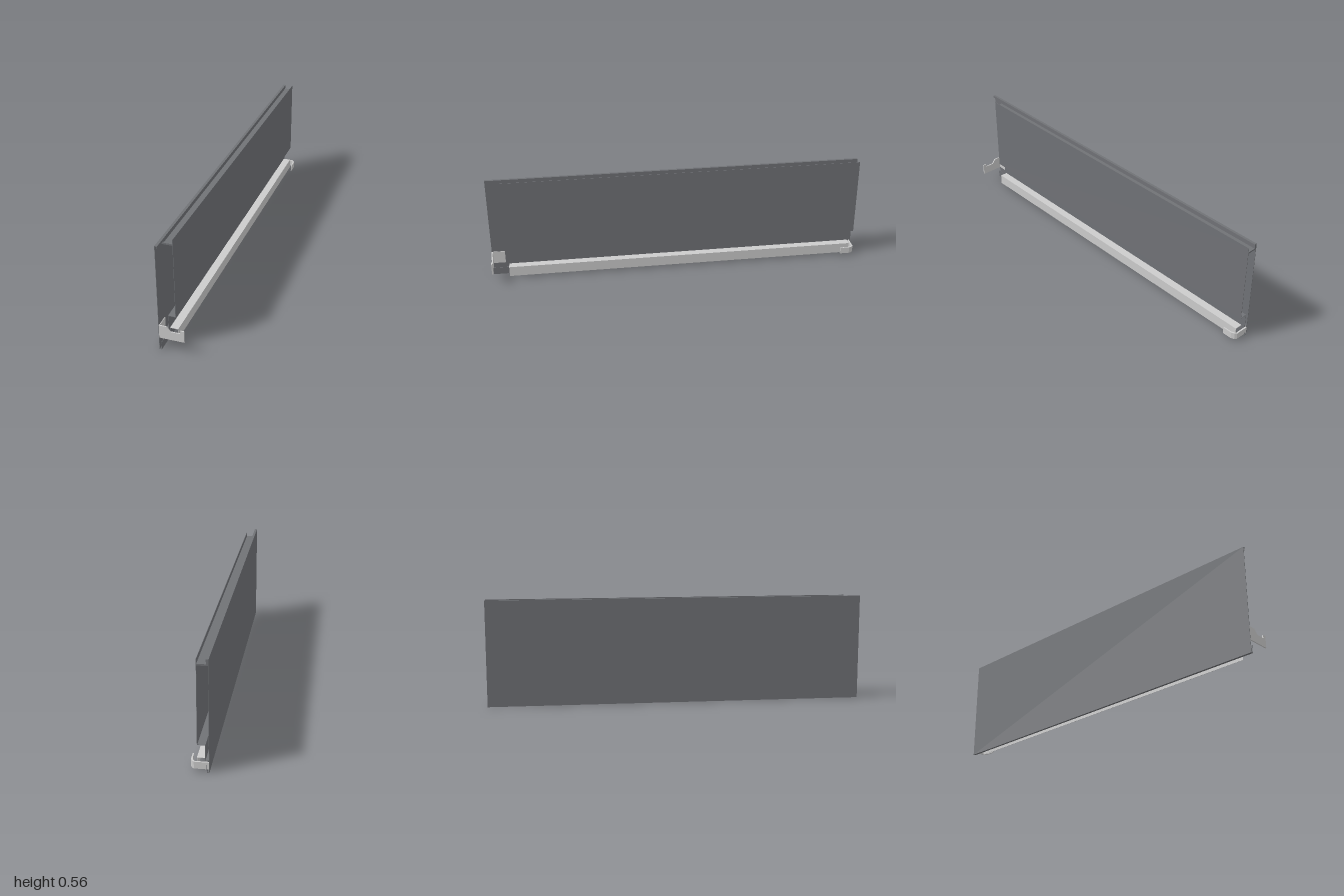
import * as THREE from 'three';

const T = 0.002; // sheet thickness

export function createModel() {
  const model = new THREE.Group();
  const dark = new THREE.MeshStandardMaterial({ color: 0x707276 });
  const light = new THREE.MeshStandardMaterial({ color: 0xcccccc });

  // Box given by its limits on each axis
  const box = (parent, name, mat, [x0, x1], [y0, y1], [z0, z1]) => {
    const mesh = new THREE.Mesh(new THREE.BoxGeometry(x1 - x0, y1 - y0, z1 - z0), mat);
    mesh.position.set((x0 + x1) / 2, (y0 + y1) / 2, (z0 + z1) / 2);
    mesh.name = name;
    parent.add(mesh);
  };
  const group = (name) => {
    const g = new THREE.Group();
    g.name = name;
    model.add(g);
    return g;
  };
  const polygon = (pts) => new THREE.Shape(pts.map(([x, y]) => new THREE.Vector2(x, y)));

  // Outer panel with folded top and bottom edges, full length
  const full = [-1, 1];
  const outer = group('outerPanel');
  box(outer, 'outerSheet', dark, [-0.063, -0.063 + T], [0, 0.562], full);
  box(outer, 'topFold', dark, [-0.061, -0.05], [0.562 - T, 0.562], full);
  box(outer, 'topLip', dark, [-0.05 - T, -0.05], [0.55, 0.562 - T], full);
  box(outer, 'bottomFold', dark, [-0.061, -0.051], [0, T], full);
  box(outer, 'bottomLip', dark, [-0.051 - T, -0.051], [T, 0.04], full);

  // Inner panel, stopping short of the front end
  const part = [-1, 0.925];
  const inner = group('innerPanel');
  box(inner, 'innerSheet', dark, [-0.007 - T, -0.007], [0.14, 0.562], part);
  box(inner, 'channelFloor', dark, [-0.061, -0.009], [0.53, 0.538], part);
  box(inner, 'channelWall', dark, [-0.061, -0.052], [0.538, 0.56], part);
  box(inner, 'lowerFlange', dark, [-0.046, -0.009], [0.14, 0.14 + T], part);
  box(inner, 'web', dark, [-0.046, -0.046 + T], [0.065, 0.14], part);
  box(inner, 'foot', dark, [-0.061, -0.044], [0.063, 0.065], part);

  // Angled runner below the inner panel
  const runner = group('runner');
  box(runner, 'runnerTop', light, [-0.044, -0.003], [0.063, 0.065], [-0.98, 0.912]);
  box(runner, 'runnerSide', light, [-0.003 - T, -0.003], [0.01, 0.063], [-0.98, 0.912]);

  // Front bracket: stepped plate across the end, tab along the outer panel
  const bracket = group('frontBracket');
  const plate = new THREE.Mesh(
    new THREE.ExtrudeGeometry(polygon([
      [-0.061, 0.066], [0.063, 0.066], [0.063, 0.127], [0.045, 0.127],
      [0.045, 0.111], [-0.003, 0.111], [-0.025, 0.135], [-0.061, 0.135],
    ]), { depth: 0.006, bevelEnabled: false }), light);
  plate.position.z = 0.994;
  plate.name = 'bracketPlate';
  bracket.add(plate);
  box(bracket, 'bracketTab', light, [-0.061, -0.058], [0.066, 0.135], [0.93, 0.994]);

  // Rear hook: strip across the end, bent round and forward
  const hook = new THREE.Mesh(
    new THREE.ExtrudeGeometry(polygon([
      [-0.061, 1], [0.008, 1], [0.018, 0.992], [0.025, 0.975], [0.025, 0.925],
      [0.019, 0.925], [0.018, 0.968], [0.012, 0.985], [0.005, 0.992], [-0.061, 0.992],
    ]), { depth: 0.035, bevelEnabled: false }), light);
  hook.rotation.x = -Math.PI / 2;
  hook.position.y = 0.018;
  hook.name = 'rearHook';
  model.add(hook);

  return model;
}
